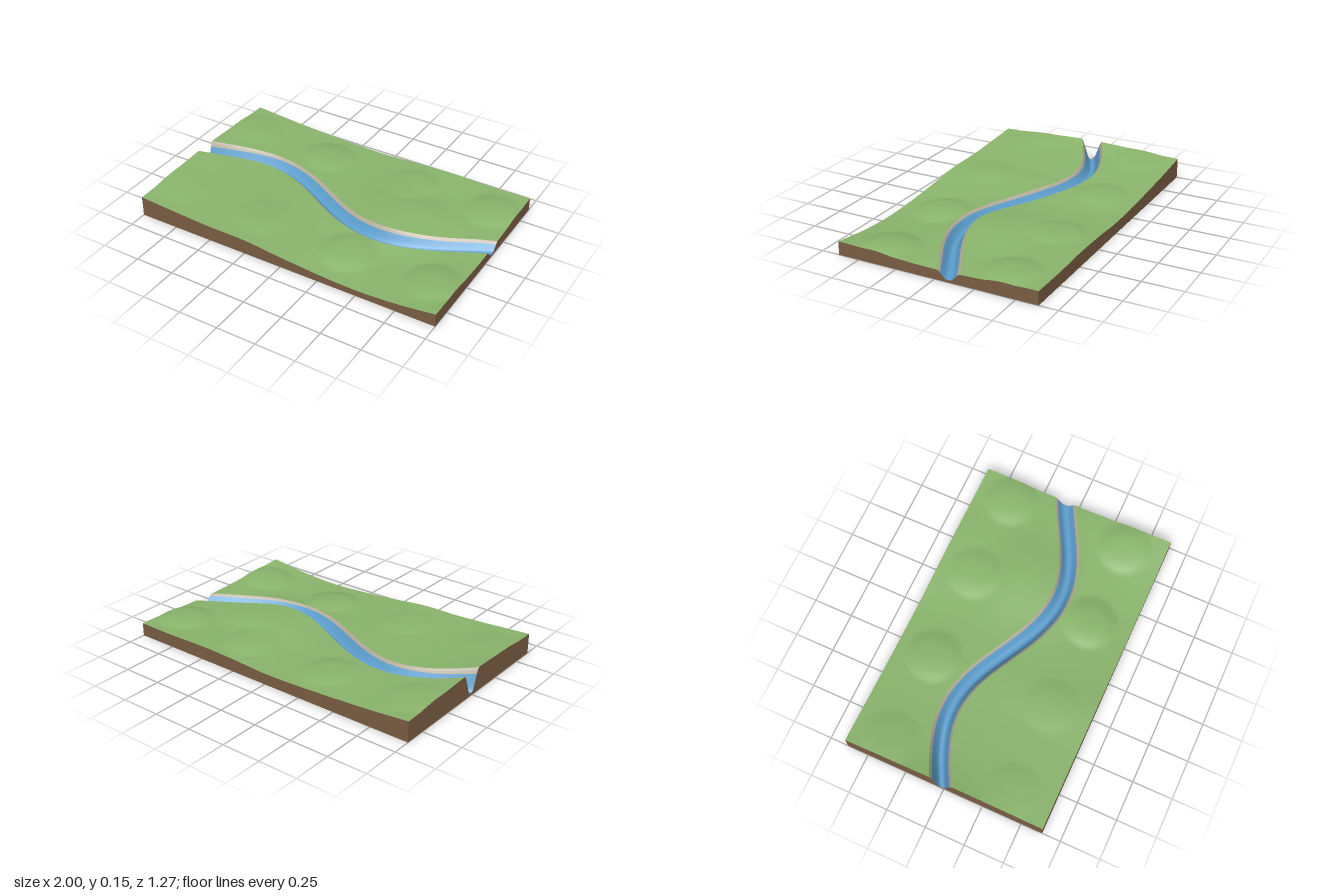
import * as THREE from 'three';

const DEPTH = 0.635;     // half depth of the slab
const WATER = 0.048;     // half width of the water
const RIM = 0.063;       // half width of the whole channel

const material = (name, color) =>
  new THREE.MeshStandardMaterial({ name, color, side: THREE.DoubleSide });

// Height profiles along the front and back edges, evenly spaced in x
const FRONT = [0.13, 0.113, 0.1, 0.096, 0.071, 0.05, 0.04, 0.053, 0.084];
const BACK = [0.13, 0.107, 0.09, 0.077, 0.071, 0.083, 0.088, 0.082, 0.084];

// Low hills: x, z, height
const HILLS = [
  [-0.87, -0.4, 0.011], [-0.3, -0.4, 0.02], [0.3, -0.4, 0.018], [0.85, -0.4, 0.023],
  [-0.87, 0.38, 0.008], [-0.3, 0.38, 0.01], [0.3, 0.38, 0.026], [0.85, 0.38, 0.023],
];
const HILL_RADIUS = 0.18;

// Smooth interpolation of a profile at x
function profile(p, x) {
  const s = (x + 1) / 2 * (p.length - 1);
  const i = Math.min(Math.max(Math.floor(s), 0), p.length - 2);
  const t = s - i;
  const a = p[i], b = p[i + 1];
  const m0 = (b - (p[i - 1] ?? 2 * a - b)) / 2;
  const m1 = ((p[i + 2] ?? 2 * b - a) - a) / 2;
  return a + m0 * t + (3 * (b - a) - 2 * m0 - m1) * t * t + (2 * (a - b) + m0 + m1) * t * t * t;
}

// River centre line, how much its slant widens it along z, and its bed level
const riverZ = (x) => -0.157 * Math.cos(3.4 * (x + 0.55)) - 0.006;
const slant = (x) => Math.hypot(1, 0.534 * Math.sin(3.4 * (x + 0.55)));
const bed = (x) => 0.014 + 0.018 * Math.exp(-(((x + 0.5) / 0.28) ** 2));

// Rolling ground without the river
function ground(x, z) {
  let y = THREE.MathUtils.lerp(profile(BACK, x), profile(FRONT, x), (z + DEPTH) / (2 * DEPTH));
  // The middle rises at one end and sinks at the other
  y -= 0.023 * (1 - (z / DEPTH) ** 2) ** 2 * x ** 7;
  // Broad rise beside the front bend of the river
  y += 0.034 * Math.exp(-(((x - 0.42) / 0.27) ** 2) - ((z + 0.03) / 0.25) ** 4);
  for (const [hx, hz, h] of HILLS) {
    const r2 = ((x - hx) ** 2 + (z - hz) ** 2) / HILL_RADIUS ** 2;
    if (r2 < 1) y += h * (1 - r2) ** 1.5 * (1 + r2);
  }
  return y;
}

// Ground with the rounded channel cut into it
function height(x, z) {
  const y = ground(x, z);
  const d = Math.abs(z - riverZ(x)) / (RIM * slant(x));
  if (d >= 1) return y;
  return THREE.MathUtils.lerp(bed(x), y, THREE.MathUtils.smoothstep(d, 0.12, 1.08));
}

// Grid surface from a rule; the outside is towards dv x du
function surface(name, mat, nu, nv, rule) {
  const pos = [], index = [];
  for (let i = 0; i <= nu; i++)
    for (let j = 0; j <= nv; j++) {
      pos.push(...rule(i / nu, j / nv));
      if (i < nu && j < nv) {
        const a = i * (nv + 1) + j, c = a + nv + 1;
        index.push(a, a + 1, c, a + 1, c + 1, c);
      }
    }
  const geo = new THREE.BufferGeometry();
  geo.setAttribute('position', new THREE.Float32BufferAttribute(pos, 3));
  geo.setIndex(index);
  geo.computeVertexNormals();
  const mesh = new THREE.Mesh(geo, mat);
  mesh.name = name;
  return mesh;
}

// Strip of land running along x between two z rules
const land = (name, mat, nv, z0, z1) => surface(name, mat, 120, nv, (u, v) => {
  const x = u * 2 - 1;
  const z = THREE.MathUtils.lerp(z0(x), z1(x), v);
  return [x, height(x, z), z];
});

// Vertical wall from the land down to the base
const wall = (name, mat, x0, z0, x1, z1) => surface(name, mat, 200, 1, (u, v) => {
  const x = THREE.MathUtils.lerp(x0, x1, u), z = THREE.MathUtils.lerp(z0, z1, u);
  return [x, height(x, z) * (1 - v), z];
});

export function createModel() {
  const grass = material('grass green', 0x8ab56c);
  const stone = material('bank grey', 0xb5ab99);
  const water = material('water blue', 0x5c9fce);
  const soil = material('soil brown', 0x7b5d43);

  const model = new THREE.Group();
  model.name = 'riverTerrain';
  const offset = (d) => (x) => riverZ(x) + d * slant(x);

  // Meadows, banks and water
  model.add(
    land('backMeadow', grass, 36, () => -DEPTH, offset(-RIM)),
    land('backBank', stone, 3, offset(-RIM), offset(-WATER)),
    land('riverWater', water, 14, offset(-WATER), offset(WATER)),
    land('frontBank', stone, 3, offset(WATER), offset(RIM)),
    land('frontMeadow', grass, 36, offset(RIM), () => DEPTH),
  );

  // Soil walls around an open underside
  model.add(
    wall('frontWall', soil, -1, DEPTH, 1, DEPTH),
    wall('backWall', soil, 1, -DEPTH, -1, -DEPTH),
    wall('leftWall', soil, 1, DEPTH, 1, -DEPTH),
    wall('rightWall', soil, -1, -DEPTH, -1, DEPTH),
  );
  return model;
}
